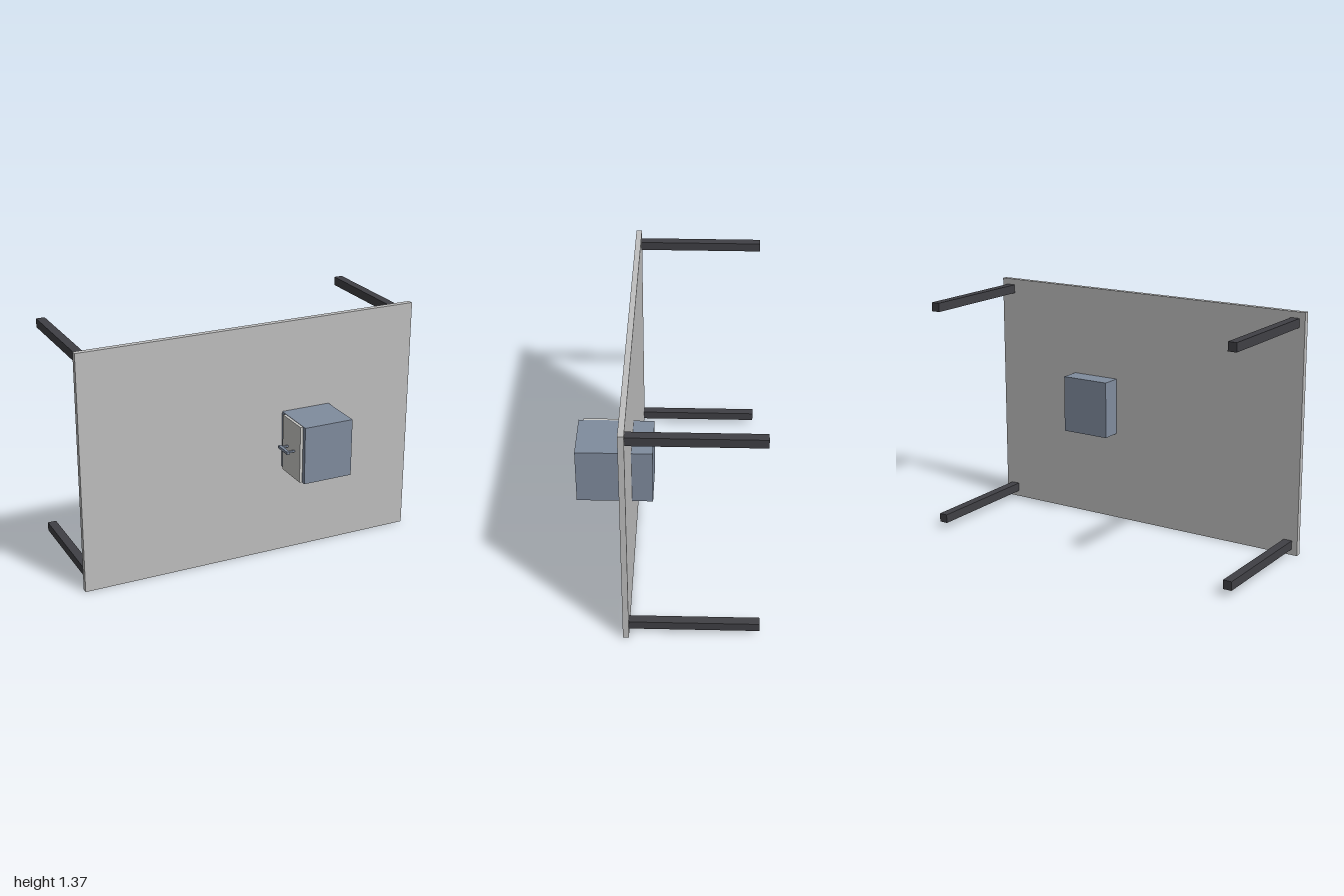
import * as THREE from 'three';

const mat = (name, color) => {
  const m = new THREE.MeshStandardMaterial({ color });
  m.name = name;
  return m;
};

// Box given by its minimum and maximum corners
function slab(name, material, min, max) {
  const size = max.map((v, i) => v - min[i]);
  const mesh = new THREE.Mesh(new THREE.BoxGeometry(...size), material);
  mesh.position.set(...max.map((v, i) => (v + min[i]) / 2));
  mesh.name = name;
  return mesh;
}

export function createModel() {
  const panelGrey = mat('panelGrey', 0xbfbfbf);
  const slateBlue = mat('slateBlue', 0x808c9e);
  const charcoal = mat('charcoal', 0x404045);
  const paleGrey = mat('paleGrey', 0xcbcbc8);
  const model = new THREE.Group();
  model.name = 'desk';

  // Table top standing on its edge
  model.add(slab('tableTop', panelGrey, [-1, 0, 0.199], [1, 1.37, 0.231]));

  // Four legs reaching backwards
  for (const x of [-0.942, 0.94]) {
    for (const y of [0.059, 1.311]) {
      model.add(slab('leg', charcoal, [x - 0.025, y - 0.025, -0.502], [x + 0.025, y + 0.025, 0.199]));
    }
  }

  // Cabinet passing through the top
  model.add(slab('cabinet', slateBlue, [0.187, 0.521, 0.084], [0.478, 0.851, 0.502]));

  // Drawer with its pull on the cabinet's right side
  const drawer = new THREE.Group();
  drawer.name = 'drawer';
  drawer.add(slab('drawerFront', paleGrey, [0.171, 0.523, 0.272], [0.187, 0.849, 0.476]));
  drawer.add(slab('handleBar', slateBlue, [0.118, 0.678, 0.32], [0.135, 0.694, 0.425]));
  for (const z of [0.335, 0.41]) {
    drawer.add(slab('handlePost', slateBlue, [0.135, 0.681, z - 0.005], [0.171, 0.691, z + 0.005]));
  }
  model.add(drawer);

  return model;
}
